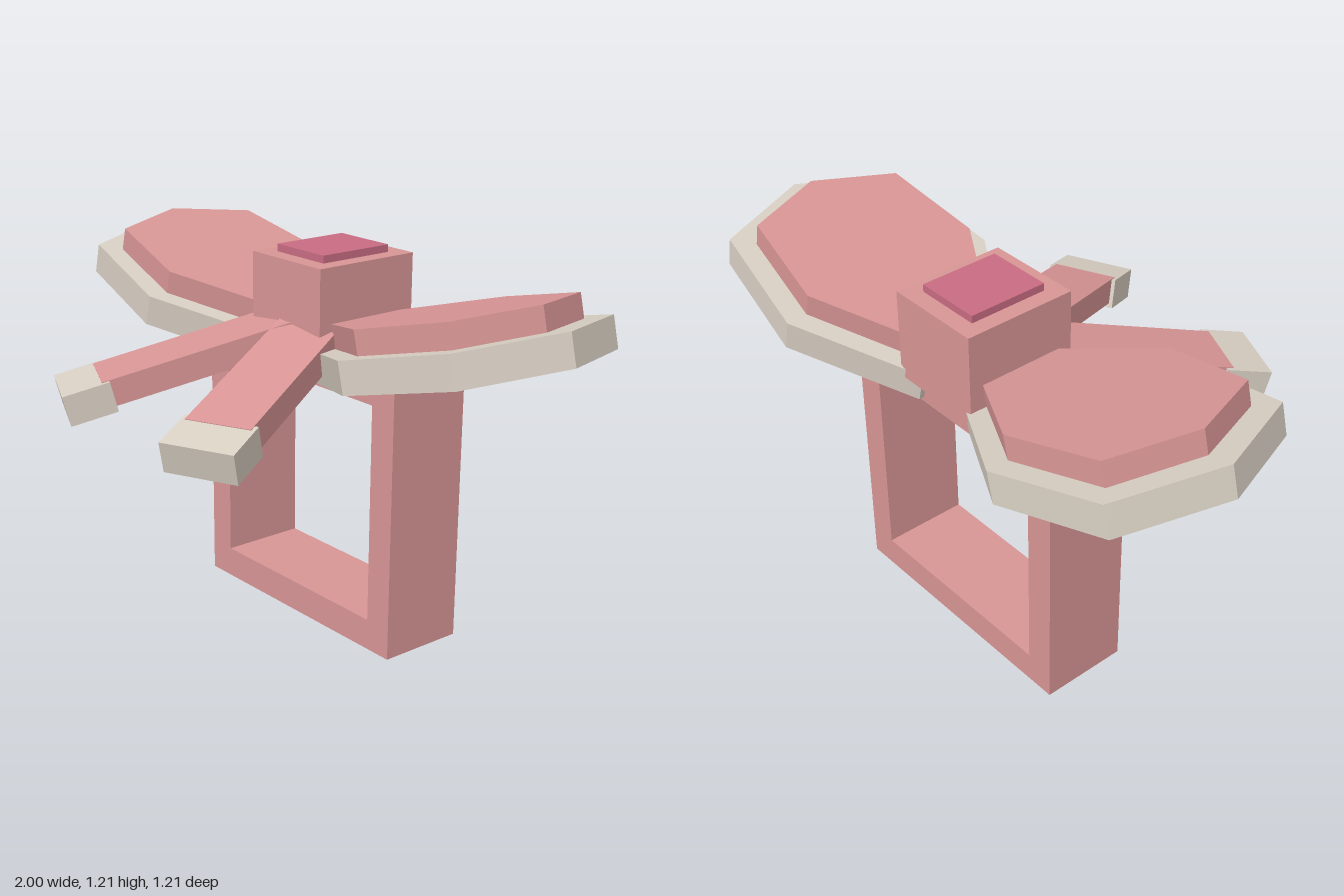
import * as THREE from 'three';

const CENTER_Z = -0.232;
const TILT = 0.25;    // upward tilt of the wings, downward pitch of the tails
const SPREAD = 0.43;  // yaw of each tail

export function createModel() {
  const mat = (name, color) => {
    const m = new THREE.MeshStandardMaterial({ color });
    m.name = name;
    return m;
  };
  const pink = mat('pink', 0xd89595);
  const beige = mat('beige', 0xd8cfc3);
  const rose = mat('rose', 0xc96c83);

  const model = new THREE.Group();
  model.name = 'bowRing';

  const add = (parent, name, geometry, material, x = 0, y = 0, z = 0) => {
    const mesh = new THREE.Mesh(geometry, material);
    mesh.name = name;
    mesh.position.set(x, y, z);
    parent.add(mesh);
    return mesh;
  };

  const rect = (Type, x0, y0, x1, y1) => new Type([
    new THREE.Vector2(x0, y0), new THREE.Vector2(x1, y0),
    new THREE.Vector2(x1, y1), new THREE.Vector2(x0, y1),
  ]);

  // Square band
  const band = rect(THREE.Shape, -0.45, 0, 0.45, 0.9);
  band.holes.push(rect(THREE.Path, -0.355, 0.1, 0.355, 0.803));
  const bandGeo = new THREE.ExtrudeGeometry(band, { depth: 0.286, bevelEnabled: false });
  add(model, 'band', bandGeo, pink, 0, 0, CENTER_Z - 0.143);

  // Knot and its top plate
  add(model, 'knot', new THREE.BoxGeometry(0.326, 0.29, 0.374), pink, 0, 1.041, CENTER_Z);
  add(model, 'topPlate', new THREE.BoxGeometry(0.22, 0.028, 0.262), rose, 0, 1.196, CENTER_Z);

  // Flat plate from half an outline of [length, half width], mirrored across its axis
  const plate = (tip, half, thickness) => {
    const pts = [...half, [tip, 0], ...half.slice().reverse().map(([u, w]) => [u, -w])];
    const shape = new THREE.Shape(pts.map(([u, w]) => new THREE.Vector2(u, w)));
    return new THREE.ExtrudeGeometry(shape, { depth: thickness, bevelEnabled: false })
      .rotateX(-Math.PI / 2);
  };
  const rimGeo = plate(1.004, [[0.098, 0.16], [0.48, 0.376], [0.877, 0.323]], 0.1);
  const padGeo = plate(0.917, [[0.171, 0.132], [0.484, 0.306], [0.819, 0.263]], 0.076);

  // Cross-section sizes for the tails
  const tailGeo = new THREE.BoxGeometry(0.21, 0.085, 0.72);
  const tipGeo = new THREE.BoxGeometry(0.235, 0.098, 0.15);

  for (const [side, s] of [['left', 1], ['right', -1]]) {
    // Wing: beige rim with a pink pad on top
    const turn = new THREE.Group();
    turn.name = side + 'Wing';
    turn.position.set(0, 0.891, CENTER_Z);
    turn.rotation.set(0, s > 0 ? 0 : Math.PI, TILT);
    add(turn, side + 'WingRim', rimGeo, beige, 0, -0.1, 0);
    add(turn, side + 'WingPad', padGeo, pink);
    model.add(turn);

    // Tail: pitched ribbon ending in a wider beige tip; its top lies at local y = 0
    const tail = new THREE.Group();
    tail.name = side + 'Tail';
    tail.position.set(0, 1.035, CENTER_Z);
    tail.rotation.set(TILT, s * SPREAD, 0, 'YXZ');
    add(tail, side + 'TailRibbon', tailGeo, pink, 0, -0.0405, 0.41);
    add(tail, side + 'TailTip', tipGeo, beige, 0, -0.049, 0.822);
    model.add(tail);
  }

  return model;
}
